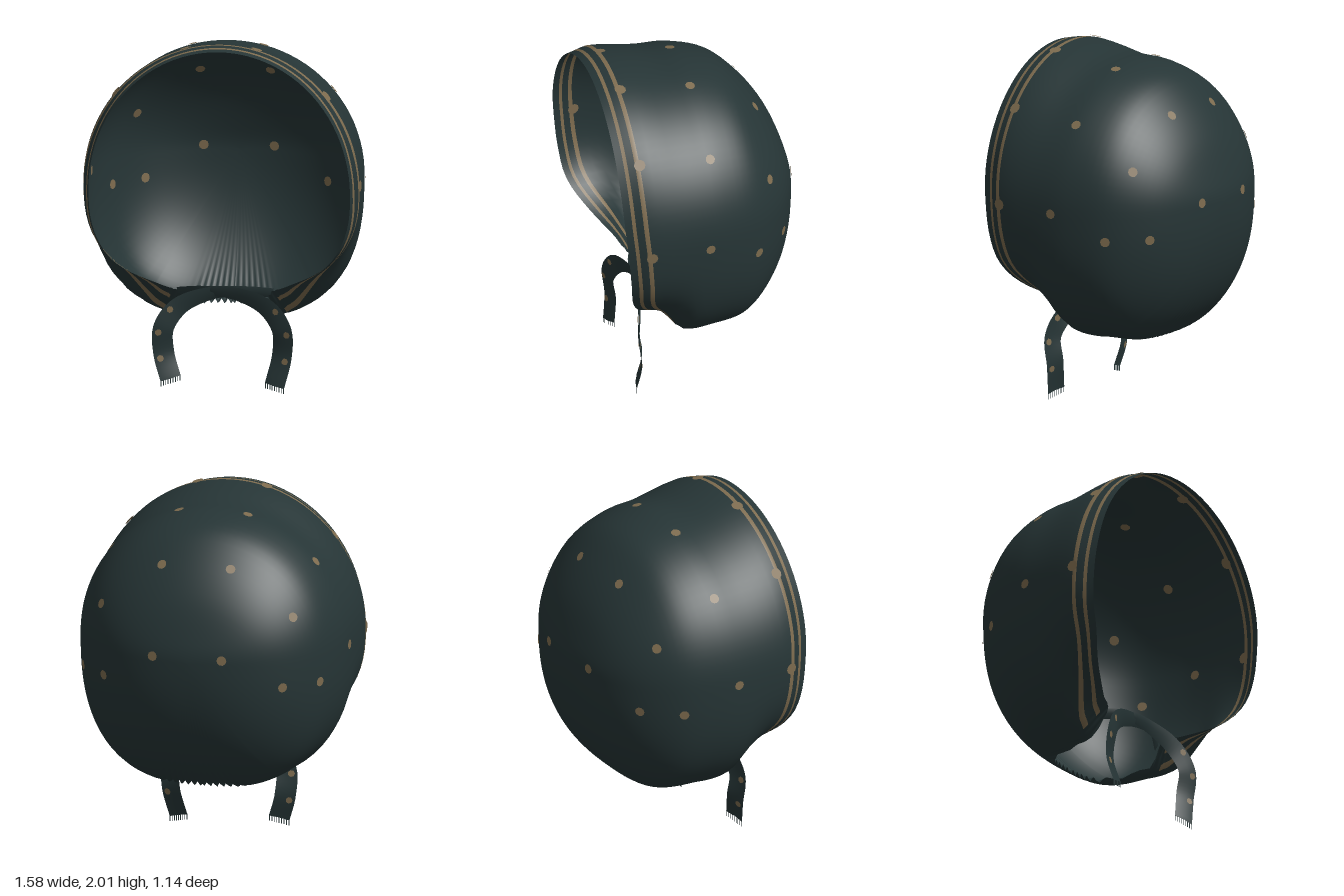
import * as THREE from 'three';

const RAD = Math.PI / 180, CY = 1.2, BACK = -0.575;
const cloth = new THREE.MeshStandardMaterial({ name: 'dark green cloth', color: 0x263536, side: THREE.DoubleSide });
const gold = new THREE.MeshStandardMaterial({ name: 'tan print', color: 0x7d6b4e, side: THREE.DoubleSide });

// smooth interpolation through sorted keys [x, value]
function smooth(keys, x) {
  const n = keys.length;
  if (x <= keys[0][0]) return keys[0][1];
  if (x >= keys[n - 1][0]) return keys[n - 1][1];
  let i = 0;
  while (x > keys[i + 1][0]) i++;
  const slope = (a, b) => (keys[b][1] - keys[a][1]) / (keys[b][0] - keys[a][0]);
  const m = k => slope(Math.max(k - 1, 0), Math.min(k + 1, n - 1));
  const [x0, y0] = keys[i], [x1, y1] = keys[i + 1], d = x1 - x0, t = (x - x0) / d;
  return y0 + (y1 - y0) * t * t * (3 - 2 * t) + d * t * (1 - t) * (m(i) * (1 - t) - m(i + 1) * t);
}

// hood outline along z: [z, top y, half width, bottom y]
const PROFILE = [
  [-0.575, 1.2, 0, 1.2], [-0.55, 1.34, 0.24, 0.94], [-0.47, 1.555, 0.45, 0.69], [-0.34, 1.745, 0.61, 0.49],
  [-0.2, 1.875, 0.705, 0.38], [0, 1.94, 0.765, 0.365], [0.15, 1.945, 0.78, 0.37], [0.22, 1.955, 0.782, 0.46],
  [0.3, 1.975, 0.785, 0.55], [0.44, 2, 0.78, 0.59], [0.5, 1.995, 0.755, 0.59], [0.57, 1.98, 0.735, 0.6],
];
const toQ = z => Math.sqrt(Math.max(0, z - BACK));
const [TOP, WIDE, BOTTOM] = [1, 2, 3].map(k => PROFILE.map(p => [toQ(p[0]), p[k]]));

// where the cloth begins, by angle from straight up: face opening, chin corner, neck opening
const EDGE = [[0, 0.565], [50, 0.57], [75, 0.565], [90, 0.55], [106, 0.53], [120, 0.5], [136, 0.4], [150, 0.31],
  [158, 0.27], [161, 0.2], [163, 0.03], [165, -0.12], [169, -0.19], [180, -0.21]];
const edgeZ = deg => smooth(EDGE, Math.abs(deg));

// point on the hood at an angle and depth
function surface(deg, z) {
  const q = toQ(z), s = Math.sin(deg * RAD), c = Math.cos(deg * RAD);
  const w = Math.max(smooth(WIDE, q), 1e-5);
  const h = Math.max(c >= 0 ? smooth(TOP, q) - CY : CY - smooth(BOTTOM, q), 1e-5);
  const n = c >= 0 ? 2 : 2.6;
  const r = Math.pow(Math.pow(Math.abs(s) / w, n) + Math.pow(Math.abs(c) / h, n), -1 / n);
  return new THREE.Vector3(r * s, CY + r * c, z);
}

function gridGeometry(positions, cols, rows, wrap, isGold) {
  const geo = new THREE.BufferGeometry(), lists = [[], []];
  for (let j = 0; j < rows - 1; j++) {
    for (let i = 0; i < (wrap ? cols : cols - 1); i++) {
      const a = j * cols + i, b = j * cols + (i + 1) % cols;
      lists[isGold(i, j) ? 1 : 0].push(a, b, a + cols, b, b + cols, a + cols);
    }
  }
  geo.setAttribute('position', new THREE.Float32BufferAttribute(positions, 3));
  geo.setIndex([...lists[0], ...lists[1]]);
  geo.addGroup(0, lists[0].length, 0);
  geo.addGroup(lists[0].length, lists[1].length, 1);
  geo.computeVertexNormals();
  return geo;
}

// hood with two trim stripes and gathers at the neck
function hood() {
  const half = [];
  for (let a = 0; a < 148; a += 4) half.push(a);
  for (let a = 148; a < 179.9; a += 0.65) half.push(a);
  const angles = [...half.slice(1).reverse().map(a => -a), ...half, 180];
  const offsets = [0, 0.04, 0.06, 0.1, 0.125], rest = 32, rows = offsets.length + rest;
  const pos = [];
  for (let j = 0; j < rows; j++) {
    for (const deg of angles) {
      const start = edgeZ(deg);
      let z = start - offsets[Math.min(j, 4)];
      if (j > 4) z = BACK + Math.pow(toQ(z) * (1 - (j - 4) / rest), 2);
      const p = surface(deg, z);
      // pleats fade out away from the neck
      const near = THREE.MathUtils.smoothstep(Math.abs(deg), 152, 163);
      const fade = near * Math.exp(-(start - z) / 0.1);
      const k = 1 - 0.035 * fade * (0.5 + 0.5 * Math.sin(Math.abs(deg) * RAD * 138));
      pos.push(p.x * k, CY + (p.y - CY) * k, p.z);
    }
  }
  const stripe = (i, j) => (j === 1 || j === 3) && Math.abs(angles[i]) < 156;
  const mesh = new THREE.Mesh(gridGeometry(pos, angles.length, rows, true, stripe), [cloth, gold]);
  mesh.name = 'hood';
  return mesh;
}

// printed dot, on both faces of the cloth
function dot(group, deg, z, radius) {
  const p = surface(deg, z), e = 0.01;
  const du = surface(deg + 0.5, z).sub(surface(deg - 0.5, z));
  const dv = surface(deg, z - e).sub(surface(deg, z + e));
  const normal = du.cross(dv).normalize();
  for (const side of [1, -1]) {
    const m = new THREE.Mesh(new THREE.CircleGeometry(radius, 10), gold);
    m.position.copy(p).addScaledVector(normal, 0.005 * side);
    m.lookAt(m.position.clone().addScaledVector(normal, side));
    m.name = 'printedDot';
    group.add(m);
  }
}

// tie ribbon crossing under the chin, hanging on the side given by sign
function ribbon(sign, drop, depth) {
  const group = new THREE.Group();
  group.name = sign > 0 ? 'leftTie' : 'rightTie';
  const curve = new THREE.CatmullRomCurve3([
    [-0.27, 0.53, 0.2], [-0.12, 0.555, 0.28], [0.08, 0.54, 0.3], [0.25, 0.47, 0.33],
    [0.335, 0.35, 0.355], [0.335, 0.2, 0.34], [0.295, 0.06 - drop, 0.36],
  ].map(([x, y, z]) => new THREE.Vector3(x * sign, y, z + depth)));
  const steps = 40, cols = 3, pos = [];
  const frame = t => {
    const c = curve.getPoint(t), d = curve.getTangent(t);
    const side = new THREE.Vector3(-d.y, d.x, 0).normalize().multiplyScalar(sign);
    side.z = 0.3;
    side.normalize();
    return { c, d, side, w: 0.03 + 0.03 * THREE.MathUtils.smoothstep(t, 0.15, 0.6) };
  };
  for (let i = 0; i <= steps; i++) {
    const { c, side, w } = frame(i / steps);
    for (let k = -1; k <= 1; k++) {
      const v = c.clone().addScaledVector(side, k * w);
      pos.push(v.x, v.y, v.z + (k === 0 ? 0.008 : 0));
    }
  }
  const band = new THREE.Mesh(gridGeometry(pos, cols, steps + 1, false, () => false), cloth);
  band.name = 'ribbonBand';
  group.add(band);

  // small printed marks on both faces
  for (const t of [0.55, 0.7, 0.86]) {
    const { c, d, side } = frame(t);
    const n = side.clone().cross(d).normalize();
    for (const s of [1, -1]) {
      const m = new THREE.Mesh(new THREE.CircleGeometry(0.02, 7), gold);
      m.position.copy(c).addScaledVector(side, 0.025);
      m.position.z += 0.004;
      m.position.addScaledVector(n, 0.006 * s);
      m.lookAt(m.position.clone().addScaledVector(n, s));
      m.name = 'ribbonDot';
      group.add(m);
    }
  }

  // frayed end
  const { c, side, w } = frame(1);
  for (let k = 0; k < 9; k++) {
    const thread = new THREE.Mesh(new THREE.PlaneGeometry(0.005, 0.035), cloth);
    thread.position.copy(c).addScaledVector(side, (k / 4 - 1) * w * 0.95);
    thread.position.y -= 0.012;
    thread.name = 'fringeThread';
    group.add(thread);
  }
  return group;
}

export function createModel() {
  const model = new THREE.Group();
  model.name = 'bonnet';
  model.add(hood());

  // dots scattered over the crown, [x, y, z], mirrored
  const dots = new THREE.Group();
  dots.name = 'printedDots';
  const spots = [[0.2, 1.92, 0.03], [0.6, 1.68, 0.03], [0.77, 1.19, 0.08], [0.21, 1.73, -0.35],
    [0.57, 1.45, -0.33], [0.2, 1.225, -0.557], [0.5, 1.06, -0.42], [0.69, 1.05, -0.23]];
  // half dots tucked behind the rear stripe
  const scallops = [[0.2, 1.97], [0.6, 1.72], [0.77, 1.2]];
  for (const s of [1, -1]) {
    for (const [x, y, z] of spots) dot(dots, s * Math.atan2(x, y - CY) / RAD, z, 0.028);
    for (const [x, y] of scallops) {
      const deg = s * Math.atan2(x, y - CY) / RAD;
      dot(dots, deg, edgeZ(deg) - 0.125, 0.033);
    }
  }
  model.add(dots, ribbon(1, 0.03, 0.012), ribbon(-1, 0, 0));
  return model;
}
